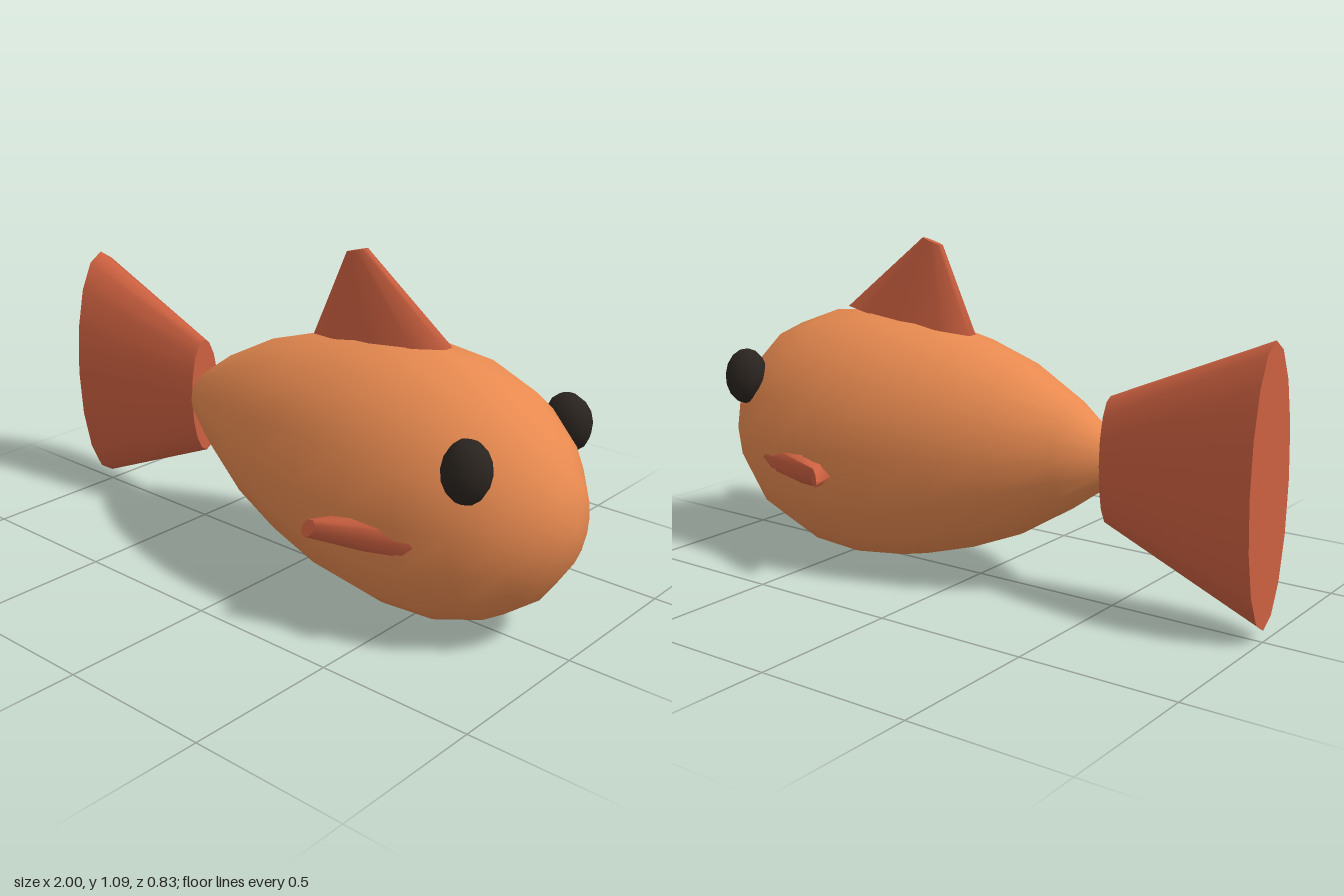
import * as THREE from 'three';
import { mergeVertices } from 'three/addons/utils/BufferGeometryUtils.js';

const orange = new THREE.MeshStandardMaterial({ color: 0xe88a50 });
const red = new THREE.MeshStandardMaterial({ color: 0xcc6040 });
const dark = new THREE.MeshStandardMaterial({ color: 0x2a241f });

// Skin over elliptical rings; each ring is { c: centre, u, v: half axes }, with u x v along the path
function loft(rings, sides) {
  const pos = [], index = [];
  for (const { c, u, v } of rings) {
    for (let j = 0; j < sides; j++) {
      const a = (j / sides) * Math.PI * 2;
      for (let k = 0; k < 3; k++) pos.push(c[k] + u[k] * Math.cos(a) + v[k] * Math.sin(a));
    }
  }
  for (let i = 0; i < rings.length - 1; i++) {
    for (let j = 0; j < sides; j++) {
      const k = (j + 1) % sides;
      const a = i * sides + j, b = i * sides + k;
      index.push(a, b, a + sides, b, b + sides, a + sides);
    }
  }
  const g = new THREE.BufferGeometry();
  g.setAttribute('position', new THREE.Float32BufferAttribute(pos, 3));
  g.setIndex(index);
  return g;
}

// Tapered solid between two rings, closed by crisp flat caps
function taper(start, end, sides) {
  const zero = [0, 0, 0];
  const point = (r) => ({ c: r.c, u: zero, v: zero });
  const g = loft([point(start), start, start, end, end, point(end)], sides);
  g.computeVertexNormals();
  return g;
}

function add(group, name, geometry, material) {
  const mesh = new THREE.Mesh(geometry, material);
  mesh.name = name;
  group.add(mesh);
  return mesh;
}

export function createModel() {
  const fish = new THREE.Group();
  fish.name = 'fish';

  // Body: x, top, bottom of each cross-section from tail to nose
  const sections = [
    [-0.49, 0.46, 0.46], [-0.48, 0.54, 0.38], [-0.355, 0.63, 0.29], [-0.16, 0.73, 0.17],
    [0.03, 0.79, 0.09], [0.225, 0.83, 0.03], [0.415, 0.845, 0.005], [0.605, 0.825, 0.015],
    [0.77, 0.765, 0.07], [0.89, 0.665, 0.16], [0.97, 0.54, 0.28], [0.995, 0.41, 0.41],
  ];
  const rings = sections.map(([x, top, bottom]) => {
    const h = (top - bottom) / 2;
    return { c: [x, (top + bottom) / 2, 0], u: [0, h, 0], v: [0, 0, h * 0.83] };
  });
  const bodyGeometry = mergeVertices(loft(rings, 16));
  bodyGeometry.computeVertexNormals();
  add(fish, 'body', bodyGeometry, orange);

  // Flared tail fin
  add(fish, 'tailFin', taper(
    { c: [-0.48, 0.46, 0], u: [0, 0, 0.062], v: [0, 0.2, 0] },
    { c: [-1, 0.46, 0], u: [0, 0, 0.128], v: [0, 0.42, 0] }, 16), red);

  // Dorsal fin, leaning back along the spine
  add(fish, 'dorsalFin', taper(
    { c: [0.285, 0.818, 0], u: [0, 0, 0.057], v: [0.265, 0.028, 0] },
    { c: [0.19, 1.08, 0], u: [0, 0, 0.011], v: [0.04, 0.011, 0] }, 10), red);

  // Mirrored side fins and eyes
  for (const s of [1, -1]) {
    const side = s > 0 ? 'front' : 'back';
    add(fish, side + 'SideFin', taper(
      { c: [0.51, 0.357, s * 0.315], u: [0.155, 0.008, 0], v: [0, s * 0.055, 0] },
      { c: [0.355, 0.362, s * 0.405], u: [0.02, 0.012, s * -0.008], v: [0, s * 0.028, 0] }, 8), red);

    const eye = add(fish, side + 'Eye', new THREE.SphereGeometry(1, 10, 8), dark);
    eye.scale.set(0.077, 0.093, 0.062);
    eye.position.set(0.793, 0.613, s * 0.254);
    eye.rotation.x = s * -0.12;
  }
  return fish;
}
